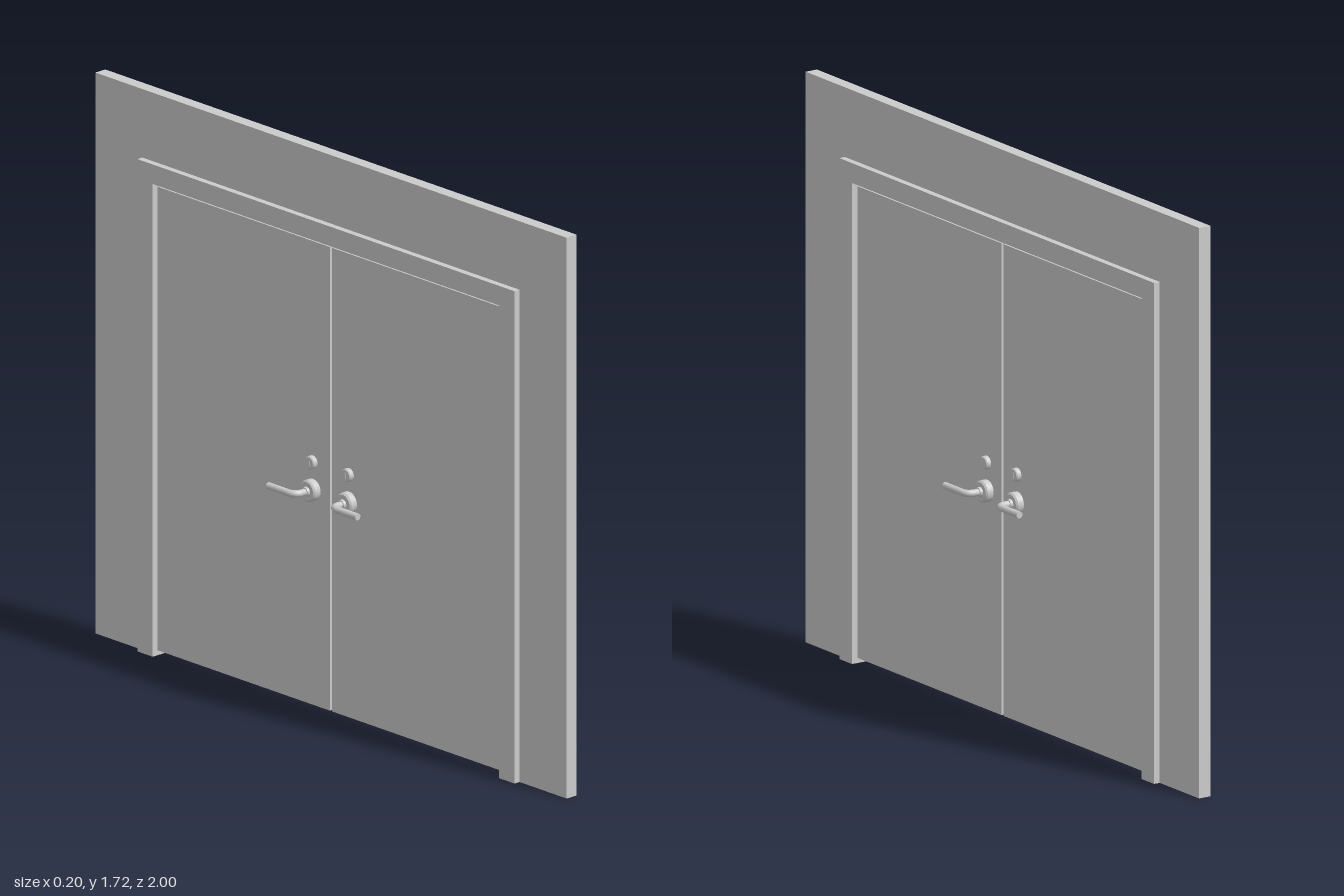
import * as THREE from 'three';

const grey = new THREE.MeshStandardMaterial({ color: 0xcccccc });

function add(parent, name, geometry) {
  const mesh = new THREE.Mesh(geometry, grey);
  mesh.name = name;
  parent.add(mesh);
  return mesh;
}

// Upside-down U in the z/y plane, standing on the floor, given thickness along x
function archGeometry(outerHalf, outerTop, innerHalf, innerTop, thickness) {
  const shape = new THREE.Shape([
    [-outerHalf, 0], [-innerHalf, 0], [-innerHalf, innerTop], [innerHalf, innerTop],
    [innerHalf, 0], [outerHalf, 0], [outerHalf, outerTop], [-outerHalf, outerTop],
  ].map(([z, y]) => new THREE.Vector2(z, y)));
  return new THREE.ExtrudeGeometry(shape, { depth: thickness, bevelEnabled: false })
    .translate(0, 0, -thickness / 2)
    .rotateY(-Math.PI / 2);
}

// Round plate whose axis is x, between two distances from the door centre
function disc(parent, name, side, from, to, rNear, rFar, y, z) {
  const geometry = new THREE.CylinderGeometry(rFar, rNear, to - from, 32).rotateZ(-side * Math.PI / 2);
  add(parent, name, geometry).position.set(side * (from + to) / 2, y, z);
}

// Lever, rose and lock for one face (side = +-1) of one leaf (leaf = +-1)
function handleSet(side, leaf) {
  const set = new THREE.Group();
  set.name = 'handleSet';
  const y = 0.675, z = leaf * 0.077, lockY = 0.76;
  const reach = 0.091, bend = 0.028, tip = leaf * 0.19, r = 0.0105;

  disc(set, 'rose', side, 0.018, 0.04, 0.033, 0.033, y, z);
  disc(set, 'roseRim', side, 0.04, 0.045, 0.033, 0.028, y, z);
  disc(set, 'collar', side, 0.045, 0.053, 0.015, 0.013, y, z);

  // Lever: straight stem, rounded elbow, straight grip
  const p = (x, pz) => new THREE.Vector3(side * x, y, pz);
  const path = new THREE.CurvePath();
  path.add(new THREE.LineCurve3(p(0.03, z), p(reach - bend, z)));
  path.add(new THREE.QuadraticBezierCurve3(p(reach - bend, z), p(reach, z), p(reach, z + leaf * bend)));
  path.add(new THREE.LineCurve3(p(reach, z + leaf * bend), p(reach, tip)));
  add(set, 'lever', new THREE.TubeGeometry(path, 48, r, 16, false));
  const cap = add(set, 'leverEnd', new THREE.CircleGeometry(r, 16));
  cap.position.copy(p(reach, tip));
  if (leaf < 0) cap.rotation.y = Math.PI;

  // Lock cylinder with key slot
  disc(set, 'lock', side, 0.018, 0.033, 0.02, 0.02, lockY, z);
  disc(set, 'lockRim', side, 0.033, 0.036, 0.02, 0.017, lockY, z);
  add(set, 'keySlot', new THREE.BoxGeometry(0.003, 0.018, 0.006))
    .position.set(side * 0.0355, lockY, z);
  return set;
}

export function createModel() {
  const model = new THREE.Group();
  model.name = 'doubleDoor';

  // Wall panel and the thicker door frame set into it
  add(model, 'wall', archGeometry(1, 1.72, 0.8, 1.51, 0.04));
  add(model, 'doorFrame', archGeometry(0.8, 1.51, 0.735, 1.45, 0.08));

  // Two leaves with a narrow gap between them, above and below
  const inner = 0.005, outer = 0.735, bottom = 0.015, top = 1.437;
  for (const leaf of [1, -1]) {
    const door = new THREE.Group();
    door.name = leaf > 0 ? 'frontDoor' : 'backDoor';
    add(door, 'doorLeaf', new THREE.BoxGeometry(0.04, top - bottom, outer - inner))
      .position.set(0, (top + bottom) / 2, leaf * (inner + outer) / 2);
    for (const side of [1, -1]) door.add(handleSet(side, leaf));
    model.add(door);
  }
  return model;
}
